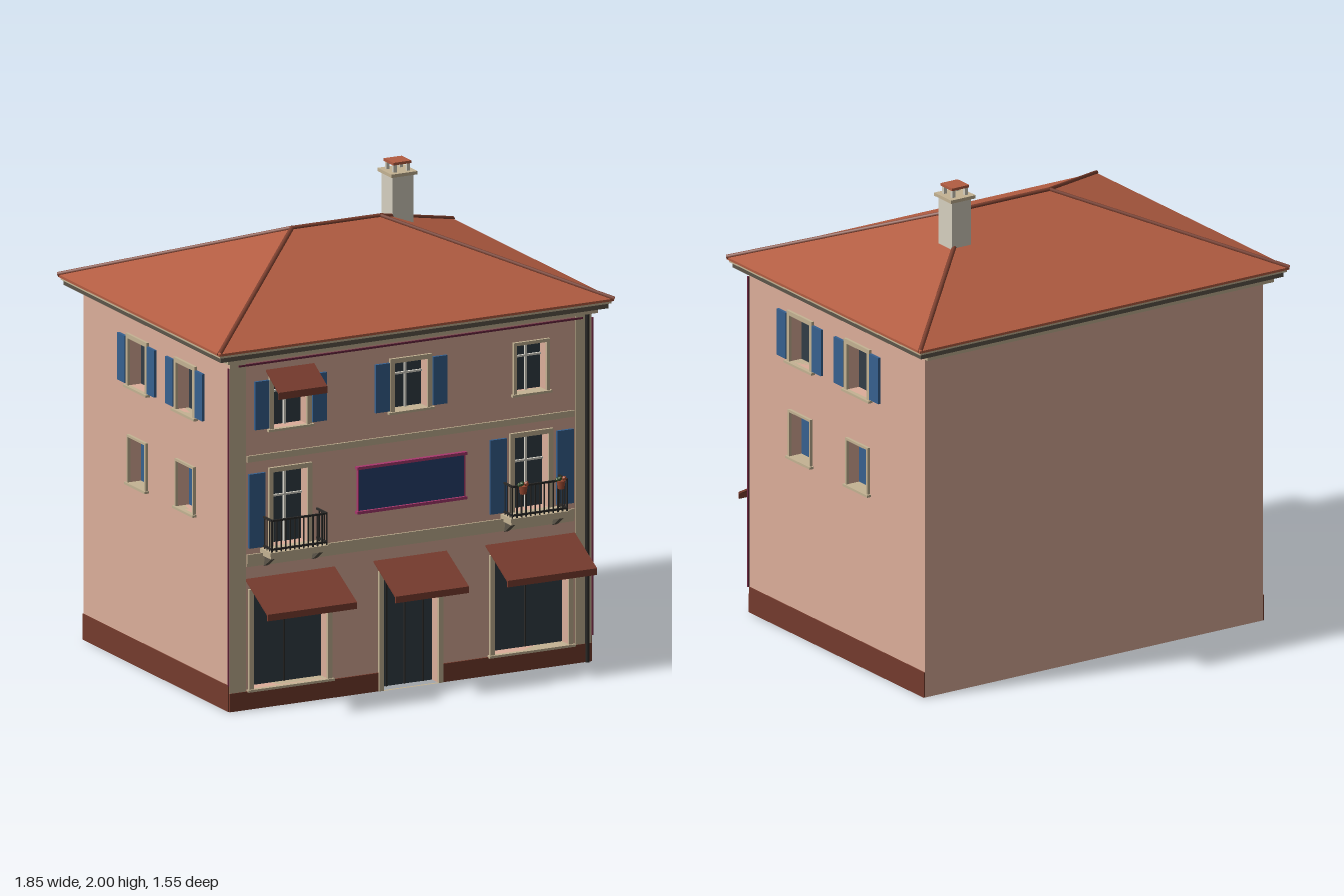
import * as THREE from 'three';
import { ConvexGeometry } from 'three/addons/geometries/ConvexGeometry.js';

const mat = (color) => new THREE.MeshStandardMaterial({ color, side: THREE.DoubleSide });
const M = {
  wall: mat(0xdcae9a), trim: mat(0xc4b393), plinth: mat(0x743b2d), blue: mat(0x37618f),
  glass: mat(0x323d46), awning: mat(0x7c3e30), roof: mat(0xb35d42), ridge: mat(0x7d402f),
  dark: mat(0x2b2a28), gutter: mat(0x5d564a), bar: mat(0xdad7cc), navy: mat(0x263f6e),
  magenta: mat(0xa8386e), cable: mat(0x6b2740), chimney: mat(0xd6d0c0), leaf: mat(0x35502c),
  pot: mat(0x9a4a32),
};
const W = 0.84, ZF = 0.58, ZB = -0.69, ZC = (ZF + ZB) / 2, T = 0.08, H = 1.5;

function add(parent, name, geo, material, x = 0, y = 0, z = 0) {
  const m = new THREE.Mesh(geo, material);
  m.name = name;
  m.position.set(x, y, z);
  parent.add(m);
  return m;
}
// Box given by its limits on each axis
function box(parent, name, material, x0, x1, y0, y1, z0, z1) {
  return add(parent, name, new THREE.BoxGeometry(x1 - x0, y1 - y0, z1 - z0), material,
    (x0 + x1) / 2, (y0 + y1) / 2, (z0 + z1) / 2);
}
const poly = (pts) => new THREE.Shape(pts.map((p) => new THREE.Vector2(...p)));
const rect = (x0, x1, y0, y1) => poly([[x0, y0], [x1, y0], [x1, y1], [x0, y1]]);
const extrude = (shape, depth) => new THREE.ExtrudeGeometry(shape, { depth, bevelEnabled: false });

// Wall panel with its outer face at local z = 0 and openings cut through
function wall(parent, name, outline, openings) {
  outline.holes = openings.map((o) => rect(o.x - o.w / 2, o.x + o.w / 2, o.y0, o.y1));
  add(parent, name, extrude(outline, T), M.wall, 0, 0, -T);
}

// Framed window: o = {x, w, y0, y1, b: frame width, bars, shut: [left, right], sw, fill, sill}
function windowUnit(parent, o) {
  const g = new THREE.Group();
  g.name = o.name || 'window';
  g.position.x = o.x;
  parent.add(g);
  const h = o.w / 2, b = o.b ?? 0.02;
  const frame = rect(-h - b, h + b, o.y0, o.y1 + b);
  frame.holes = [rect(-h, h, o.y0, o.y1)];
  add(g, 'frame', extrude(frame, 0.012), M.trim);
  box(g, 'pane', o.fill || M.glass, -h, h, o.y0, o.y1, -0.06, -0.05);
  if (o.sill !== false) box(g, 'sill', M.trim, -h - b - 0.008, h + b + 0.008, o.y0 - 0.01, o.y0, -0.05, 0.02);
  if (o.bars) {
    box(g, 'mullion', M.bar, -0.005, 0.005, o.y0, o.y1, -0.05, -0.04);
    box(g, 'crossbar', M.bar, -h, h, o.bars - 0.004, o.bars + 0.004, -0.05, -0.04);
  }
  (o.split || []).forEach((x) => box(g, 'doorSeam', M.dark, x - 0.003, x + 0.003, o.y0, o.y1, -0.05, -0.045));
  const sw = o.sw || 0.065;
  [-1, 1].forEach((s, i) => {
    if (!o.shut || !o.shut[i]) return;
    const c = s * (h + b + 0.004 + sw / 2 + (o.gap || 0));
    box(g, 'shutter', M.blue, c - sw / 2, c + sw / 2, o.y0 + 0.005, o.y1 + 0.005, 0.002, 0.014);
  });
}

// Sloping sheet with a hanging front edge
function awning(parent, x, w, yTop, reach, drop, valance) {
  const t = 0.006;
  const s = poly([[0, yTop], [reach, yTop - drop], [reach, yTop - drop - valance],
    [reach - t, yTop - drop - valance], [reach - t, yTop - drop - t], [0, yTop - t]]);
  const geo = extrude(s, w).translate(0, 0, -w / 2).rotateY(-Math.PI / 2);
  add(parent, 'awning', geo, M.awning, x);
}

function balcony(parent, x, flowers) {
  const g = new THREE.Group();
  g.name = 'balcony';
  g.position.x = x;
  parent.add(g);
  const h = 0.127, d = 0.085;
  box(g, 'slab', M.trim, -h - 0.01, h + 0.01, 0.662, 0.678, 0, d + 0.008);
  box(g, 'slabUnderside', M.trim, -h, h, 0.646, 0.662, 0, d - 0.01);
  const bracket = extrude(poly([[0, 0.6], [0.02, 0.61], [0.07, 0.646], [0, 0.646]]), 0.018)
    .translate(0, 0, -0.009).rotateY(-Math.PI / 2);
  for (const s of [-1, 1]) {
    add(g, 'bracket', bracket, M.gutter, s * 0.112);
    for (const y of [0.69, 0.812]) box(g, 'sideRail', M.dark, s * h - 0.004, s * h + 0.004, y - 0.004, y + 0.004, 0, d);
    for (let i = 1; i < 4; i++) box(g, 'sideBaluster', M.dark, s * h - 0.002, s * h + 0.002, 0.678, 0.812, i * d / 4 - 0.002, i * d / 4 + 0.002);
  }
  for (const y of [0.69, 0.812]) box(g, 'frontRail', M.dark, -h, h, y - 0.004, y + 0.004, d - 0.004, d + 0.004);
  const n = 12;
  for (let i = 0; i <= n; i++) {
    const bx = -h + (2 * h * i) / n;
    box(g, 'baluster', M.dark, bx - 0.0025, bx + 0.0025, 0.678, 0.812, d - 0.0025, d + 0.0025);
  }
  if (!flowers) return;
  // Flower pots hung on the rail
  for (const s of [-1, 1]) {
    add(g, 'flowerPot', new THREE.CylinderGeometry(0.02, 0.014, 0.035, 8), M.pot, s * 0.088, 0.8, d + 0.02);
    for (let i = 0; i < 5; i++) {
      const a = i * 2.4;
      add(g, 'foliage', new THREE.IcosahedronGeometry(0.011, 0), i % 3 ? M.leaf : M.pot,
        s * 0.088 + 0.015 * Math.cos(a), 0.822 + 0.006 * (i % 2), d + 0.02 + 0.013 * Math.sin(a));
    }
  }
}

function buildFront(root) {
  const f = new THREE.Group();
  f.name = 'frontFacade';
  f.position.z = ZF;
  root.add(f);
  const top = { y0: 1.18, y1: 1.385, w: 0.155, bars: 1.325 };
  const mid = { y0: 0.68, y1: 0.995, w: 0.16, bars: 0.88, sw: 0.075, gap: 0.014, sill: false };
  const shop = { name: 'shopWindow', y0: 0.085, y1: 0.49, w: 0.345, split: [0] };
  const units = [
    { ...top, x: -0.56, shut: [1, 1] }, { ...top, x: 0, shut: [1, 1] },
    { ...top, x: 0.56, w: 0.14, b: 0.014 },
    { ...mid, x: -0.56, shut: [1, 0] }, { ...mid, x: 0.56, shut: [1, 1] },
    { ...shop, x: -0.56 }, { ...shop, x: 0.56 },
  ];
  const outline = poly([[-W, 0], [-0.128, 0], [-0.128, 0.49], [0.128, 0.49], [0.128, 0], [W, 0], [W, H], [-W, H]]);
  wall(f, 'frontWall', outline, units);
  units.forEach((u) => windowUnit(f, u));
  windowUnit(f, { name: 'door', x: 0, y0: 0, y1: 0.49, w: 0.256, sill: false, split: [-0.085, 0, 0.085] });

  // Corner pilasters, plinth and string courses
  for (const s of [-1, 1]) {
    box(f, 'pilaster', M.trim, s * 0.803 - 0.037, s * 0.803 + 0.037, 0.075, 1.485, 0, 0.006);
    box(f, 'frontPlinth', M.plinth, s * 0.496 - 0.346, s * 0.496 + 0.346, 0, 0.078, 0, 0.008);
    box(f, 'edgeCable', M.cable, s * 0.846 - 0.003, s * 0.846 + 0.003, 0.11, 1.46, 0, 0.008);
  }
  box(f, 'upperBand', M.trim, -0.76, 0.76, 1.05, 1.077, 0, 0.008);
  box(f, 'lowerBand', M.trim, -0.76, 0.76, 0.62, 0.658, 0, 0.008);
  box(f, 'lowerBandLip', M.trim, -0.76, 0.76, 0.605, 0.62, 0, 0.004);
  box(f, 'topCable', M.cable, -0.8, 0.8, 1.46, 1.468, 0, 0.008);

  // Blank sign board with light strips
  box(f, 'signBoard', M.navy, -0.245, 0.245, 0.78, 0.955, 0, 0.012);
  for (const y of [0.773, 0.962]) box(f, 'signStrip', M.magenta, -0.255, 0.255, y - 0.006, y + 0.006, 0, 0.02);
  for (const s of [-1, 1]) box(f, 'signEdge', M.magenta, s * 0.247 - 0.003, s * 0.247 + 0.003, 0.77, 0.965, 0, 0.014);

  awning(f, -0.5575, 0.415, 0.555, 0.195, 0.105, 0.028);
  awning(f, 0, 0.34, 0.555, 0.195, 0.105, 0.028);
  awning(f, 0.5575, 0.415, 0.555, 0.195, 0.105, 0.028);
  awning(f, -0.558, 0.225, 1.432, 0.115, 0.07, 0.03);
  balcony(f, -0.56, false);
  balcony(f, 0.557, true);
  add(f, 'downpipe', new THREE.CylinderGeometry(0.009, 0.009, 1.48, 8), M.dark, 0.817, 0.74, 0.012);
}

function buildSide(root, s) {
  const g = new THREE.Group();
  g.name = s > 0 ? 'leftFacade' : 'rightFacade';
  g.position.set(s * W, 0, ZC);
  g.rotation.y = s * Math.PI / 2;
  root.add(g);
  const d = (ZF - ZB) / 2;
  const units = [0.207, -0.21].flatMap((z) => {
    const x = -s * (z - ZC);
    return [
      { x, y0: 1.18, y1: 1.38, w: 0.145, b: 0.019, shut: [1, 1], sw: 0.066 },
      { x, y0: 0.768, y1: 0.96, w: 0.143, b: 0.01, fill: M.blue },
    ];
  });
  wall(g, 'sideWall', rect(-d, d, 0, H), units);
  units.forEach((u) => windowUnit(g, u));
  box(g, 'sidePlinth', M.plinth, -d, d, 0, 0.11, 0, 0.005);
}

function buildRoof(root) {
  const g = new THREE.Group();
  g.name = 'roof';
  root.add(g);
  box(g, 'soffit', M.trim, -0.86, 0.86, 1.482, 1.5, -0.74, 0.605);
  box(g, 'gutter', M.gutter, -0.9, 0.9, 1.5, 1.522, -0.75, 0.62);
  box(g, 'cornice', M.trim, -0.91, 0.91, 1.522, 1.535, -0.76, 0.63);
  const v = (x, y, z) => new THREE.Vector3(x, y, z);
  const E = [v(-0.917, 1.543, 0.638), v(0.917, 1.543, 0.638), v(0.917, 1.543, -0.768), v(-0.917, 1.543, -0.768)];
  const R = [v(-0.205, 1.818, -0.065), v(0.205, 1.818, -0.065)];
  const low = E.map((p) => v(p.x, 1.533, p.z));
  add(g, 'hippedRoof', new ConvexGeometry([...E, ...low, ...R]), M.roof);
  // Ridge and hip tiles
  const lines = [[R[0], R[1]], [E[0], R[0]], [E[3], R[0]], [E[1], R[1]], [E[2], R[1]]];
  for (const [a, b] of lines) {
    add(g, 'ridgeTiles', new THREE.TubeGeometry(new THREE.LineCurve3(a, b), 1, 0.01, 8), M.ridge);
  }
}

function buildChimney(root) {
  const g = new THREE.Group();
  g.name = 'chimney';
  g.position.set(0.366, 0, -0.215);
  root.add(g);
  box(g, 'shaft', M.chimney, -0.048, 0.048, 1.65, 1.945, -0.048, 0.048);
  box(g, 'collar', M.trim, -0.061, 0.061, 1.943, 1.957, -0.061, 0.061);
  for (const x of [-1, 1]) for (const z of [-1, 1]) {
    box(g, 'capPost', M.chimney, x * 0.031 - 0.007, x * 0.031 + 0.007, 1.957, 1.99, z * 0.031 - 0.007, z * 0.031 + 0.007);
  }
  box(g, 'cap', M.roof, -0.042, 0.042, 1.989, 2, -0.042, 0.042);
}

export function createModel() {
  const root = new THREE.Group();
  root.name = 'townhouse';
  buildFront(root);
  buildSide(root, 1);
  buildSide(root, -1);
  box(root, 'backWall', M.wall, -W, W, 0, H, ZB, ZB + T);
  buildRoof(root);
  buildChimney(root);
  return root;
}
